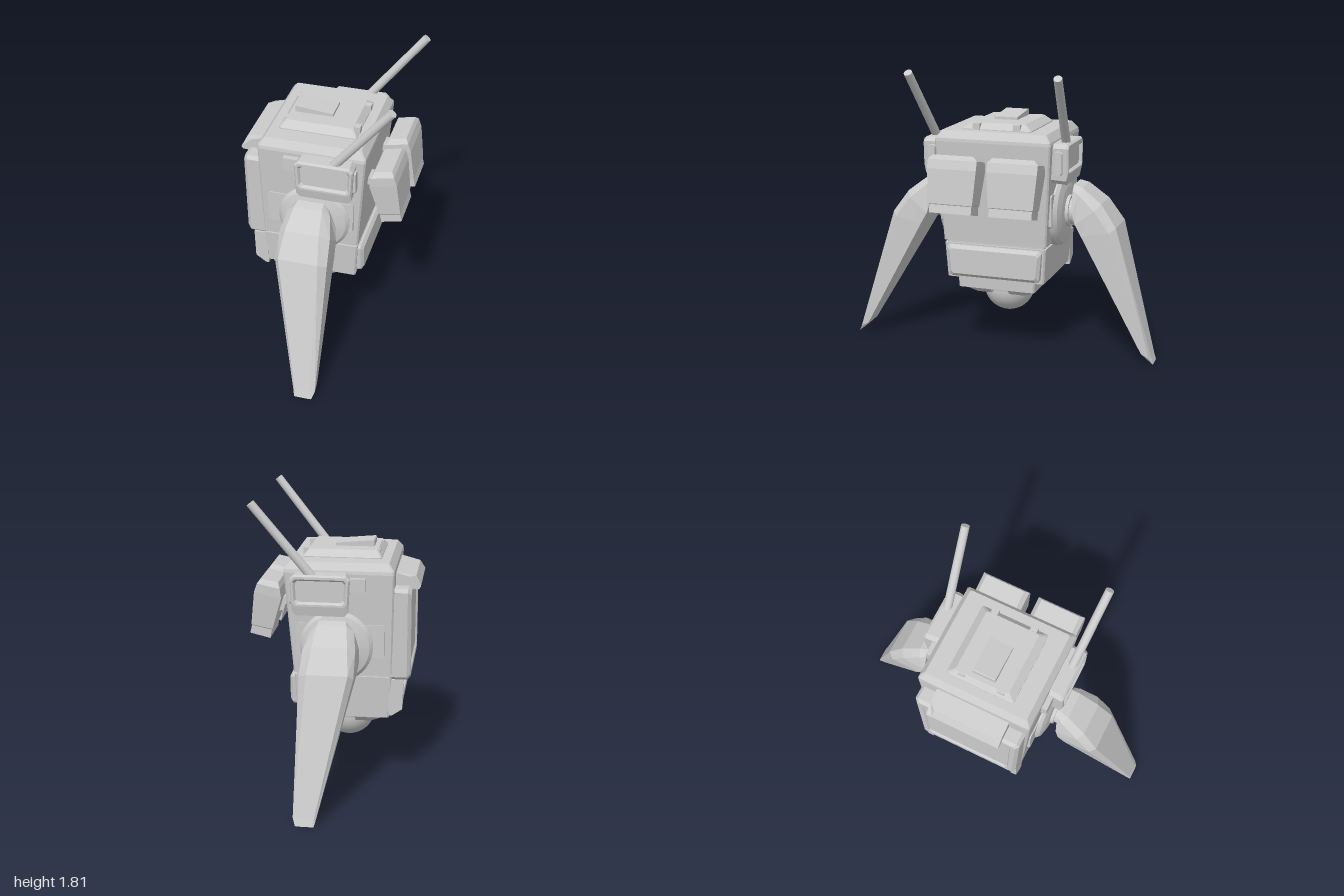
import * as THREE from 'three';

const grey = new THREE.MeshStandardMaterial({ color: 0xcccccc });

function add(parent, name, geo) {
  const m = new THREE.Mesh(geo, grey);
  m.name = name;
  parent.add(m);
  return m;
}

// Flat-shaded solid through a list of equal-length rings, capped at both ends
function loft(rings) {
  const tris = [], n = rings[0].length;
  const mid = r => r.reduce((a, p) => a.map((v, i) => v + p[i] / n), [0, 0, 0]);
  for (let k = 0; k < rings.length - 1; k++) {
    for (let i = 0; i < n; i++) {
      const j = (i + 1) % n, a = rings[k], b = rings[k + 1];
      tris.push([a[i], a[j], b[j]], [a[i], b[j], b[i]]);
    }
  }
  const first = rings[0], last = rings[rings.length - 1];
  const c0 = mid(first), c1 = mid(last);
  for (let i = 0; i < n; i++) {
    const j = (i + 1) % n;
    tris.push([c0, first[j], first[i]], [c1, last[i], last[j]]);
  }
  // turn the faces outward whichever way the rings run
  let vol = 0;
  for (const [a, b, c] of tris) {
    vol += a[0] * (b[1] * c[2] - b[2] * c[1]) + a[1] * (b[2] * c[0] - b[0] * c[2]) + a[2] * (b[0] * c[1] - b[1] * c[0]);
  }
  if (vol < 0) tris.forEach(t => t.reverse());
  const g = new THREE.BufferGeometry();
  g.setAttribute('position', new THREE.Float32BufferAttribute(tris.flat(2), 3));
  g.computeVertexNormals();
  return g;
}

// Stack of corner-cut rectangles along an axis.
// Level: [w, u0, u1, v0, v1, cut, taper], taper scales u at the v0 side
const place = {
  x: (u, v, w) => [w, v, u],
  y: (u, v, w) => [u, w, v],
  z: (u, v, w) => [u, v, w],
};
function slab(axis, levels) {
  return loft(levels.map(([w, u0, u1, v0, v1, c = 0.01, taper = 1]) => {
    const um = (u0 + u1) / 2;
    const pts = [[u0 + c, v0], [u1 - c, v0], [u1, v0 + c], [u1, v1 - c], [u1 - c, v1], [u0 + c, v1], [u0, v1 - c], [u0, v0 + c]];
    return pts.map(([u, v]) => {
      const t = taper + (1 - taper) * (v - v0) / (v1 - v0);
      return place[axis](um + (u - um) * t, v, w);
    });
  }));
}

// Side profile in x,y drawn out between two z values
const prism = (pts, z0, z1) => loft([z0, z1].map(z => pts.map(([x, y]) => [x, y, z])));

function bodyParts(g) {
  add(g, 'upperBody', slab('y', [
    [0.72, -0.36, 0.25, -0.335, 0.335],
    [1.36, -0.37, 0.3, -0.372, 0.372],
    [1.38, -0.368, 0.298, -0.368, 0.368],
    [1.425, -0.335, 0.265, -0.335, 0.335],
  ]));
  add(g, 'seam', slab('y', [[0.69, -0.35, 0.235, -0.32, 0.32], [0.73, -0.35, 0.235, -0.32, 0.32]]));
  add(g, 'lowerBody', slab('y', [
    [0.48, -0.35, 0.235, -0.318, 0.318],
    [0.705, -0.36, 0.247, -0.332, 0.332],
  ]));
  add(g, 'bottomPlate', slab('y', [[0.41, -0.335, 0.215, -0.25, 0.25], [0.485, -0.335, 0.22, -0.255, 0.255]]));

  // roof hatch
  add(g, 'hatchBase', slab('y', [[1.415, -0.28, 0.205, -0.222, 0.222], [1.43, -0.28, 0.205, -0.222, 0.222], [1.468, -0.25, 0.17, -0.175, 0.175]]));
  add(g, 'hatchLid', prism([[-0.22, 1.45], [0.02, 1.45], [0.02, 1.485], [-0.215, 1.507], [-0.22, 1.5]], -0.075, 0.075));
  for (const s of [1, -1]) {
    for (const x of [-0.245, 0.19]) {
      add(g, 'hatchClip', new THREE.BoxGeometry(0.04, 0.04, 0.045)).position.set(x, 1.447, s * 0.13);
    }
  }

  // raised panel below the pods
  add(g, 'lowerPanel', slab('x', [
    [0.22, -0.315, 0.315, 0.49, 0.7, 0.015, 0.95],
    [0.262, -0.31, 0.31, 0.495, 0.695, 0.015, 0.95],
    [0.28, -0.29, 0.29, 0.515, 0.675, 0.015, 0.95],
  ]));
}

function backParts(g) {
  // large framed panel with a shallow recess
  add(g, 'backPanel', slab('x', [
    [-0.34, -0.35, 0.35, 0.69, 1.27, 0.02, 0.94],
    [-0.45, -0.35, 0.35, 0.69, 1.27, 0.02, 0.94],
    [-0.472, -0.33, 0.33, 0.71, 1.255, 0.02, 0.94],
    [-0.472, -0.3, 0.3, 0.74, 1.225, 0.02, 0.94],
    [-0.46, -0.29, 0.29, 0.75, 1.215, 0.02, 0.94],
  ]));
  add(g, 'visor', loft([[-0.24, 0], [-0.2, 1], [0.2, 1], [0.24, 0]].map(([z, k]) => [
    [-0.34, 1.355], [-0.455 - 0.035 * k, 1.325], [-0.52, 1.265], [-0.51, 1.25], [-0.34, 1.24],
  ].map(([x, y]) => [x, y, z]))));

  // open tray between two end brackets
  for (const s of [1, -1]) {
    add(g, 'trayBracket', prism([[-0.34, 0.69], [-0.43, 0.69], [-0.425, 0.5], [-0.36, 0.455], [-0.34, 0.455]], s * 0.285, s * 0.325));
  }
  add(g, 'trayFloor', prism([[-0.34, 0.56], [-0.42, 0.545], [-0.42, 0.505], [-0.34, 0.47]], -0.29, 0.29));
  add(g, 'trayTop', prism([[-0.34, 0.7], [-0.42, 0.7], [-0.42, 0.665], [-0.34, 0.645]], -0.29, 0.29));
}

function domeParts(g) {
  const cx = -0.06;
  const dome = add(g, 'dome', new THREE.SphereGeometry(0.165, 40, 20, 0, Math.PI * 2, Math.PI / 2, Math.PI / 2));
  dome.position.set(cx, 0.37, 0);
  add(g, 'domeCollar', new THREE.CylinderGeometry(0.18, 0.168, 0.05, 40)).position.set(cx, 0.392, 0);
  // four corner wedges round the dome
  for (const a of [1, -1]) for (const b of [1, -1]) {
    const ring = (y, o, c) => [[0.06, 0.13], [0.06, o], [o - c, o], [o, o - c], [o, 0.06], [0.13, 0.06]].map(([x, z]) => [cx + a * x, y, b * z]);
    add(g, 'domeMount', loft([ring(0.42, 0.25, 0.03), ring(0.405, 0.245, 0.03), ring(0.36, 0.185, 0.03)]));
  }
}

// Tilted pod, hollow underneath; section: inner x,y, outer x,y, half width
function podParts(g, s) {
  const sections = [
    [0.342, 1.283, 0.45, 1.305, 0.13],
    [0.328, 1.25, 0.468, 1.28, 0.157],
    [0.32, 1.19, 0.487, 1.225, 0.157],
    [0.38, 0.99, 0.511, 1.015, 0.14],
    [0.384, 0.985, 0.508, 1.01, 0.135],
    [0.395, 0.93, 0.52, 0.96, 0.135],
    [0.415, 0.935, 0.502, 0.956, 0.115],
    [0.4, 1.01, 0.488, 1.03, 0.115],
  ];
  add(g, 'pod', loft(sections.map(([xi, yi, xo, yo, h]) => [
    [xi, yi, s * 0.19 - h], [xo, yo, s * 0.19 - h], [xo, yo, s * 0.19 + h], [xi, yi, s * 0.19 + h],
  ])));
  add(g, 'podBracket', prism([[0.28, 1.18], [0.34, 1.17], [0.36, 1.08], [0.325, 1.09], [0.31, 1.13], [0.28, 1.13]], s * 0.14, s * 0.24));
}

function sideParts(g, s) {
  // flat plate behind the hip
  add(g, 'hipPlate', slab('z', [[s * 0.3, -0.315, 0.225, 0.84, 1.045], [s * 0.362, -0.315, 0.225, 0.84, 1.045]]));

  // round hip with stepped shaft: radius, distance
  const hip = [[0.225, 0.28], [0.225, 0.365], [0.205, 0.385], [0.15, 0.4], [0.1, 0.405], [0.1, 0.425], [0.085, 0.425], [0.085, 0.45], [0.095, 0.45], [0.095, 0.475], [0.08, 0.475], [0.08, 0.56], [0, 0.56]];
  // doubled points keep the steps crisp
  const pts = hip.flatMap(([r, d]) => [new THREE.Vector2(r, d), new THREE.Vector2(r, d + 0.0001)]);
  const hub = add(g, 'hipJoint', new THREE.LatheGeometry(pts, 40));
  hub.rotation.x = s * Math.PI / 2;
  hub.position.set(-0.02, 0.905, 0);

  // leg sections: outer z,y,x0,x1 / middle z,y,x0,x1 / inner z,y,x0,x1
  const leg = [
    [0.46, 1.095, -0.09, 0.07, 0.46, 1.06, -0.125, 0.1, 0.46, 0.99, -0.15, 0.13],
    [0.515, 1.08, -0.1, 0.075, 0.5, 1.04, -0.145, 0.12, 0.47, 0.93, -0.17, 0.15],
    [0.64, 0.985, -0.12, 0.09, 0.61, 0.95, -0.165, 0.15, 0.49, 0.86, -0.175, 0.155],
    [0.74, 0.845, -0.135, 0.11, 0.705, 0.82, -0.165, 0.158, 0.53, 0.79, -0.165, 0.158],
    [0.985, 0.045, 0.03, 0.125, 0.975, 0.045, 0.018, 0.156, 0.925, 0.07, 0.015, 0.156],
    [1.0, 0.003, 0.04, 0.125, 0.998, 0.004, 0.03, 0.14, 0.99, 0.01, 0.03, 0.14],
  ];
  add(g, 'leg', loft(leg.map(([zo, yo, a0, a1, zm, ym, b0, b1, zi, yi, c0, c1]) => [
    [a0, yo, s * zo], [a1, yo, s * zo], [b1, ym, s * zm], [c1, yi, s * zi], [c0, yi, s * zi], [b0, ym, s * zm],
  ])));

  // side box with a framed recess
  add(g, 'sideBox', slab('z', [
    [s * 0.355, -0.105, 0.245, 1.125, 1.37, 0.025, 0.93],
    [s * 0.455, -0.115, 0.25, 1.12, 1.37, 0.025, 0.93],
    [s * 0.468, -0.105, 0.242, 1.18, 1.36, 0.02, 0.95],
    [s * 0.468, -0.092, 0.23, 1.192, 1.345, 0.015, 0.95],
    [s * 0.45, -0.08, 0.218, 1.204, 1.333, 0.015, 0.95],
  ]));
  add(g, 'sideBoxEndCap', slab('x', [
    [0.22, s * 0.41 - 0.028, s * 0.41 + 0.028, 1.175, 1.335, 0.01],
    [0.257, s * 0.41 - 0.022, s * 0.41 + 0.022, 1.185, 1.325, 0.01],
  ]));
  add(g, 'sideBoxMount', new THREE.BoxGeometry(0.12, 0.08, 0.05)).position.set(-0.14, 1.3, s * 0.38);

  // antenna rod
  const from = new THREE.Vector3(0.1, 1.33, s * 0.42), to = new THREE.Vector3(0.473, 1.795, s * 0.465);
  const dir = to.clone().sub(from);
  const rod = add(g, 'antenna', new THREE.CylinderGeometry(0.026, 0.028, dir.length(), 20));
  rod.position.copy(from).addScaledVector(dir, 0.5);
  rod.quaternion.setFromUnitVectors(new THREE.Vector3(0, 1, 0), dir.normalize());
}

export function createModel() {
  const model = new THREE.Group();
  model.name = 'walker';
  const part = (name, build, s) => {
    const g = new THREE.Group();
    g.name = name;
    build(g, s);
    model.add(g);
  };
  part('body', bodyParts);
  part('back', backParts);
  part('domeUnit', domeParts);
  for (const s of [1, -1]) {
    const end = s > 0 ? 'Front' : 'Rear';
    part('pod' + end, podParts, s);
    part('side' + end, sideParts, s);
  }
  return model;
}
